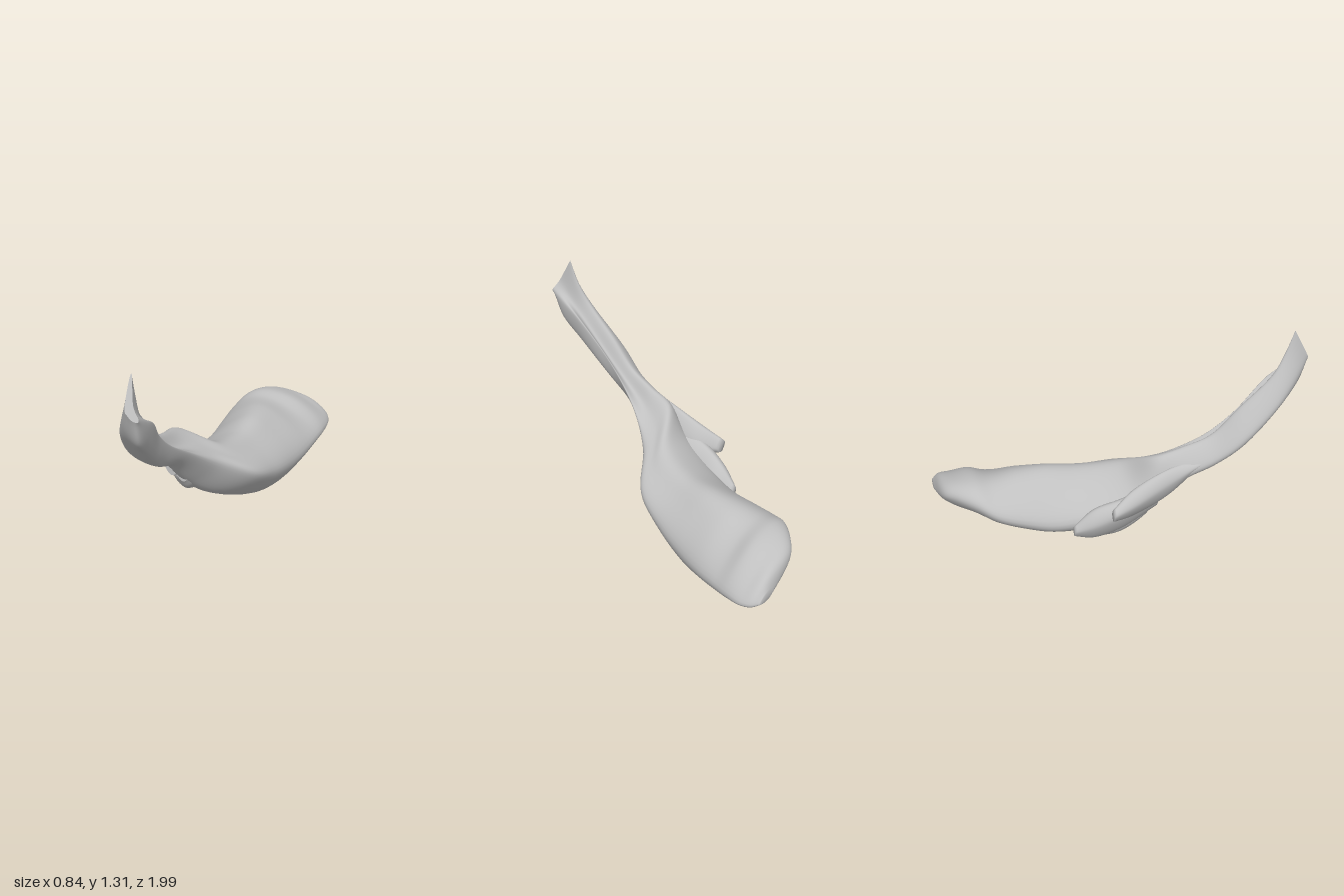
import * as THREE from 'three';

// Cross-sections from back to front: z, tilt, then x,y of the points round the ring.
// Blade and stem: left, top, shoulder (or groove), right, bottom, flank
const BLADE = [
  [-0.997, 0, 0.27, 0.27, 0.30, 0.28, 0.34, 0.275, 0.37, 0.245, 0.33, 0.235, 0.29, 0.245],
  [-0.96, 0, 0.08, 0.35, 0.14, 0.385, 0.30, 0.34, 0.405, 0.235, 0.30, 0.21, 0.17, 0.26],
  [-0.9, 0, 0.0, 0.37, 0.08, 0.425, 0.27, 0.365, 0.42, 0.225, 0.28, 0.18, 0.12, 0.24],
  [-0.8, 0, -0.09, 0.36, 0.02, 0.45, 0.24, 0.395, 0.41, 0.22, 0.25, 0.14, 0.06, 0.22],
  [-0.7, 0, -0.15, 0.32, 0.0, 0.44, 0.20, 0.385, 0.385, 0.21, 0.22, 0.10, 0.0, 0.19],
  [-0.55, 0, -0.19, 0.28, 0.0, 0.455, 0.19, 0.395, 0.345, 0.19, 0.16, 0.045, -0.02, 0.13],
  [-0.4, 0, -0.22, 0.26, 0.0, 0.46, 0.17, 0.39, 0.30, 0.19, 0.12, 0.0, -0.06, 0.10],
  [-0.2, 0, -0.26, 0.30, -0.03, 0.45, 0.12, 0.395, 0.24, 0.23, 0.06, 0.06, -0.15, 0.14],
  [0, 0, -0.31, 0.37, -0.09, 0.50, 0.06, 0.43, 0.16, 0.31, -0.05, 0.17, -0.24, 0.22],
];
const STEM = [
  [0.15, 0, -0.32, 0.48, -0.25, 0.64, -0.13, 0.56, -0.02, 0.45, -0.18, 0.32, -0.28, 0.39],
  [0.3, 0, -0.34, 0.58, -0.26, 0.69, -0.19, 0.61, -0.12, 0.58, -0.20, 0.495, -0.30, 0.51],
  [0.45, 0, -0.355, 0.65, -0.27, 0.75, -0.22, 0.68, -0.175, 0.69, -0.23, 0.57, -0.32, 0.585],
  [0.6, 0, -0.37, 0.77, -0.27, 0.90, -0.22, 0.81, -0.19, 0.82, -0.22, 0.68, -0.33, 0.69],
  [0.8, 0.1, -0.335, 0.94, -0.26, 1.07, -0.21, 0.99, -0.165, 1.0, -0.20, 0.85, -0.29, 0.87],
  [0.93, 0.4, -0.29, 1.06, -0.24, 1.18, -0.205, 1.09, -0.165, 1.06, -0.19, 0.96, -0.25, 0.99],
  [0.99, 0.5, -0.245, 1.17, -0.23, 1.31, -0.205, 1.18, -0.17, 1.12, -0.19, 1.11, -0.225, 1.13],
];
// Folds along the side: left, top, right, bottom
const FOLDS = {
  upperFold: [
    [-0.12, 0, -0.42, 0.42, -0.39, 0.45, -0.36, 0.40, -0.39, 0.37],
    [0, 0, -0.395, 0.45, -0.34, 0.52, -0.28, 0.42, -0.33, 0.34],
    [0.2, 0, -0.355, 0.53, -0.31, 0.60, -0.26, 0.48, -0.31, 0.42],
    [0.38, 0, -0.345, 0.62, -0.31, 0.64, -0.27, 0.61, -0.30, 0.58],
  ],
  lowerFold: [
    [-0.31, 0, -0.295, 0.25, -0.275, 0.28, -0.25, 0.24, -0.27, 0.21],
    [-0.2, 0, -0.335, 0.30, -0.28, 0.38, -0.20, 0.27, -0.26, 0.17],
    [-0.05, 0, -0.355, 0.37, -0.30, 0.44, -0.22, 0.33, -0.28, 0.22],
    [0.15, 0, -0.33, 0.45, -0.28, 0.50, -0.22, 0.40, -0.28, 0.34],
  ],
  frontKnob: [
    [-0.2, 0, -0.26, 0.20, -0.22, 0.27, -0.12, 0.20, -0.20, 0.13],
    [-0.05, 0, -0.295, 0.25, -0.22, 0.37, -0.10, 0.25, -0.22, 0.16],
    [0.1, 0, -0.28, 0.32, -0.22, 0.39, -0.14, 0.32, -0.21, 0.24],
    [0.155, 0, -0.235, 0.335, -0.21, 0.355, -0.185, 0.33, -0.21, 0.31],
  ],
};
const AROUND = 48;

// One closed smooth ring; the tilt leans its upper points back
function ring([z, tilt, ...p]) {
  const bottom = Math.min(...p.filter((_, i) => i % 2));
  const corners = [];
  for (let i = 0; i < p.length; i += 2) {
    corners.push(new THREE.Vector3(p[i], p[i + 1], z - tilt * (p[i + 1] - bottom)));
  }
  const curve = new THREE.CatmullRomCurve3(corners, true, 'catmullrom', 0.55);
  return Array.from({ length: AROUND }, (_, i) => curve.getPoint(i / AROUND));
}

function surface(points, index, material, name) {
  const geometry = new THREE.BufferGeometry().setFromPoints(points);
  geometry.setIndex(index);
  geometry.computeVertexNormals();
  const mesh = new THREE.Mesh(geometry, material);
  mesh.name = name;
  return mesh;
}

const middle = points =>
  points.reduce((s, p) => s.add(p), new THREE.Vector3()).divideScalar(points.length);

// Triangles from a centre to the ring that starts at the given vertex
function fan(start, centre, flip) {
  const index = [];
  for (let i = 0; i < AROUND; i++) {
    const a = start + i, b = start + (i + 1) % AROUND;
    index.push(centre, flip ? b : a, flip ? a : b);
  }
  return index;
}

// Smooth skin through the sections with a rounded back end and a flat front end
function loft(name, sections, along, material) {
  const rings = sections.map(ring);
  const rails = rings[0].map((_, i) =>
    new THREE.CatmullRomCurve3(rings.map(r => r[i]), false, 'centripetal'));
  const points = [], index = [];
  for (let j = 0; j <= along; j++) {
    for (let i = 0; i < AROUND; i++) {
      points.push(rails[i].getPoint(j / along));
      if (j === along) continue;
      const a = j * AROUND + i, b = j * AROUND + (i + 1) % AROUND;
      index.push(a, a + AROUND, b, b, a + AROUND, b + AROUND);
    }
  }
  const front = points.slice(along * AROUND);
  points.push(middle(points.slice(0, AROUND)));
  index.push(...fan(0, points.length - 1, false));

  const group = new THREE.Group();
  group.name = name;
  group.add(
    surface(points, index, material, name + 'Skin'),
    surface([...front, middle(front)], fan(0, AROUND, true), material, name + 'End'),
  );
  return group;
}

export function createModel() {
  const group = new THREE.Group();
  const grey = new THREE.MeshStandardMaterial({ name: 'light grey', color: 0xc0c0c0 });

  // Broad blade running into the grooved, curved stem
  group.add(loft('bladeAndStem', [...BLADE, ...STEM], 120, grey));

  // Folded lobes along the right flank
  for (const [name, sections] of Object.entries(FOLDS)) {
    group.add(loft(name, sections, 30, grey));
  }
  return group;
}
